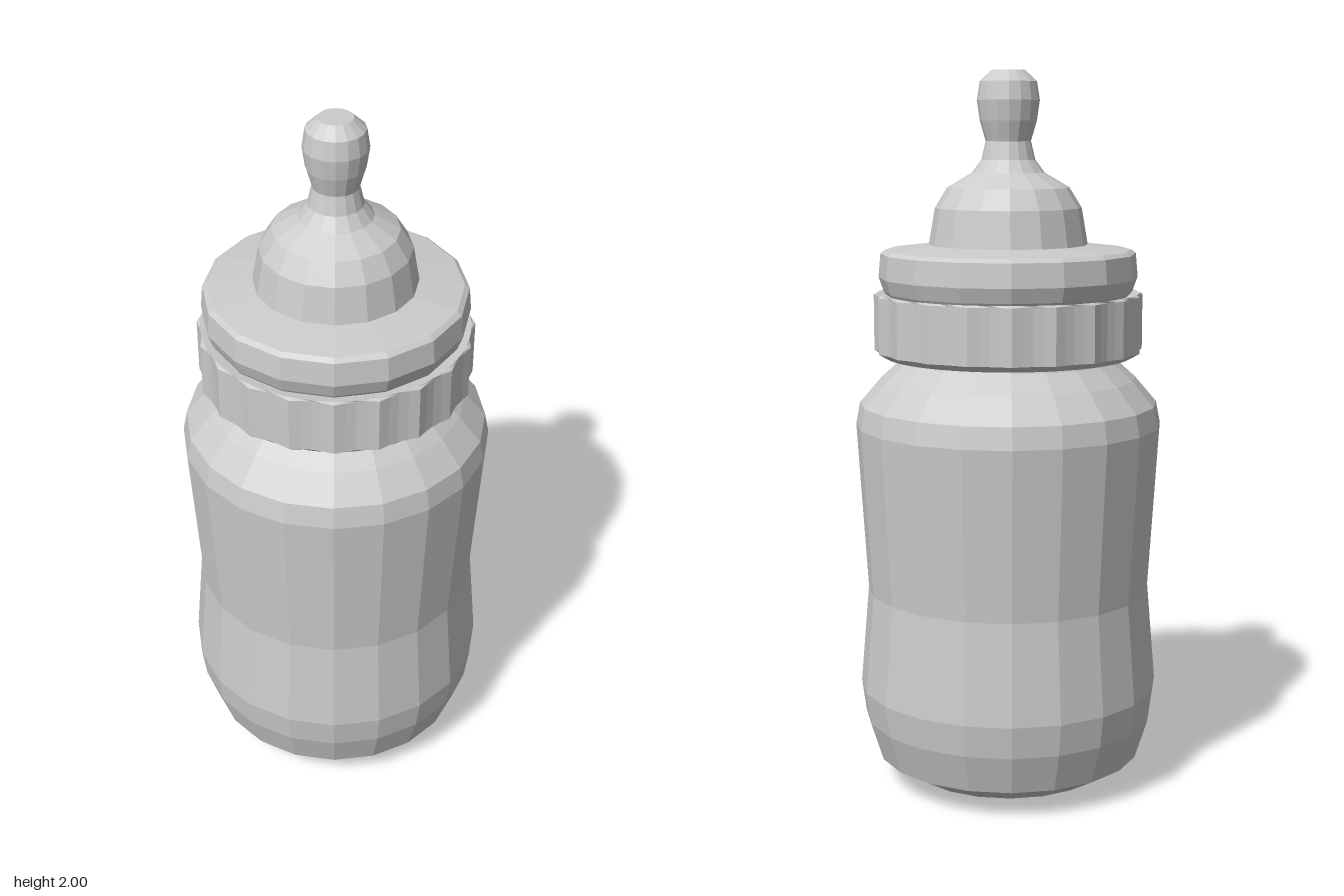
import * as THREE from 'three';

const material = new THREE.MeshStandardMaterial({ color: 0xcccccc, flatShading: true });

// Turned part from [radius, height] pairs listed bottom to top
function turned(name, profile, sides) {
  const points = profile.map(([r, y]) => new THREE.Vector2(r, y));
  const mesh = new THREE.Mesh(new THREE.LatheGeometry(points, sides), material);
  mesh.name = name;
  return mesh;
}

// Presses shallow scallops into the outer wall, leaving upright ridges between them
function addGrip(mesh, ribs, depth, minRadius) {
  const pos = mesh.geometry.attributes.position;
  for (let i = 0; i < pos.count; i++) {
    const x = pos.getX(i), z = pos.getZ(i);
    const r = Math.hypot(x, z);
    if (r < minRadius) continue;
    const angle = Math.atan2(x, z);
    const k = (r - depth * Math.abs(Math.sin(angle * ribs / 2))) / r;
    pos.setX(i, x * k);
    pos.setZ(i, z * k);
  }
  mesh.geometry.computeVertexNormals();
}

export function createModel() {
  const group = new THREE.Group();
  group.name = 'babyBottle';

  // Waisted bottle with a rounded base and sloping shoulders
  group.add(turned('bottle', [
    [0, 0], [0.17, 0.003], [0.285, 0.028], [0.375, 0.08], [0.41, 0.19],
    [0.422, 0.28], [0.398, 0.56], [0.427, 1.03], [0.415, 1.09],
    [0.355, 1.16], [0.3, 1.21], [0.28, 1.25],
  ], 20));

  // Screw ring with a ribbed grip
  const ring = turned('screwRing', [
    [0.27, 1.225], [0.345, 1.222], [0.373, 1.238], [0.373, 1.392], [0.362, 1.397], [0.33, 1.392],
  ], 80);
  addGrip(ring, 20, 0.012, 0.37);
  group.add(ring);

  // Smooth collar above the ring
  group.add(turned('collar', [
    [0.335, 1.385], [0.345, 1.4], [0.359, 1.44], [0.353, 1.505], [0.34, 1.515], [0.2, 1.532],
  ], 16));

  // Teat: dome, narrow neck and bulbous tip with a flat end
  group.add(turned('teat', [
    [0.22, 1.527], [0.202, 1.63], [0.168, 1.685], [0.1, 1.725], [0.074, 1.76],
    [0.062, 1.81], [0.078, 1.865], [0.086, 1.92], [0.078, 1.97], [0.046, 2], [0, 2],
  ], 16));

  return group;
}
